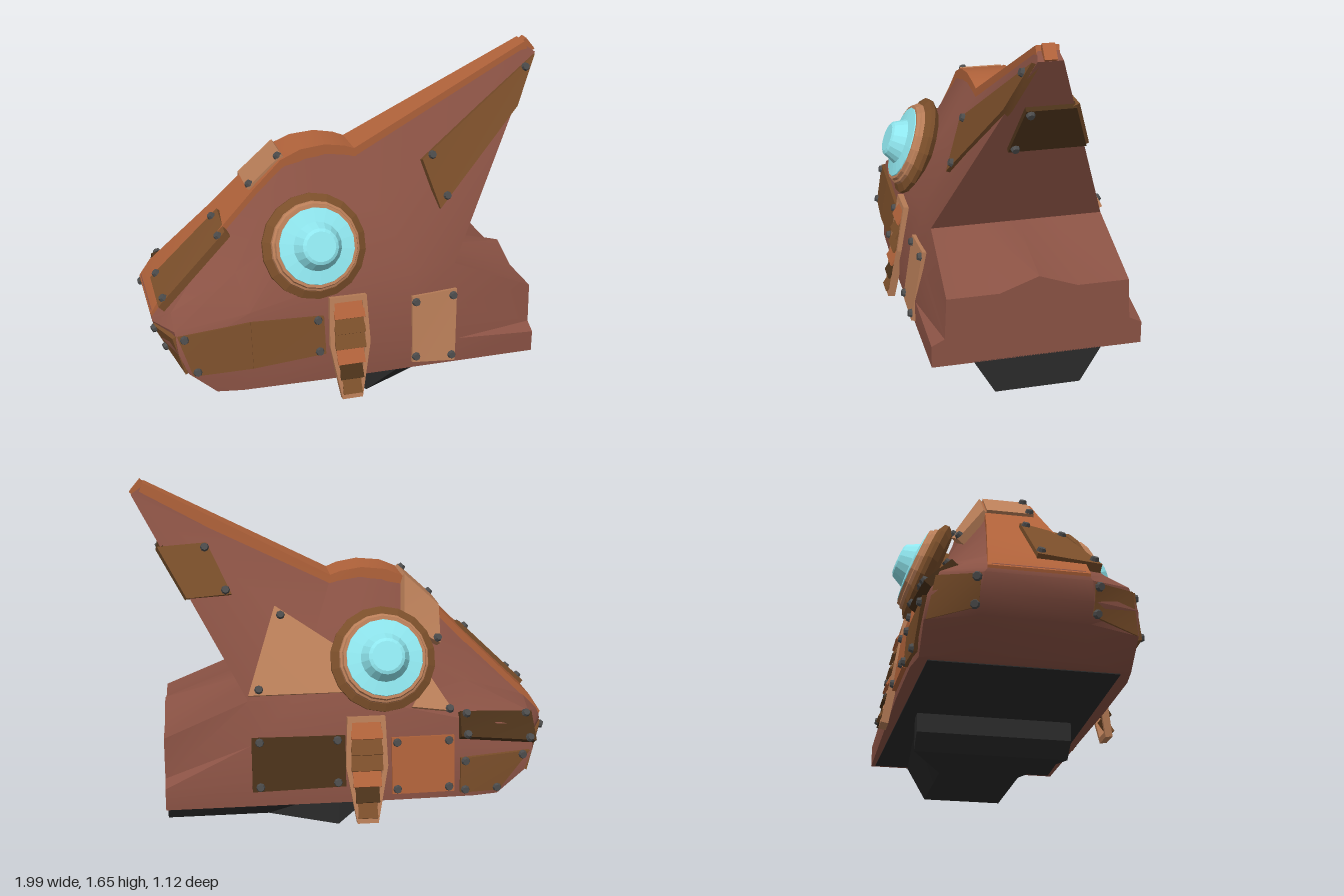
import * as THREE from 'three';
import { toCreasedNormals } from 'three/addons/utils/BufferGeometryUtils.js';

const C = { body: 0x8a5244, orange: 0xb0623a, brown: 0x7a4e2a, dark: 0x4a3119, light: 0xb97e58, cyan: 0x8fe6ee, black: 0x2a2a2a, bolt: 0x4c4c4c };
const mat = (c, flatShading = true) => new THREE.MeshStandardMaterial({ color: C[c], flatShading, side: THREE.DoubleSide });
const V = (x, y, z) => new THREE.Vector3(x, y, z);

// mesh from a flat list of triangle corners, shallow folds smoothed
function triMesh(name, pts, color) {
  const g = new THREE.BufferGeometry().setFromPoints(pts);
  const m = new THREE.Mesh(toCreasedNormals(g, 0.45), mat(color, false));
  m.name = name;
  return m;
}
const quad = (out, a, b, c, d) => {
  for (const t of [[a, b, c], [a, c, d]])
    if (new THREE.Triangle(...t).getArea() > 1e-6) out.push(...t);
};

// skin a row of mirrored closed rings (running front to back) and cap both ends
function loft(name, rings, color) {
  const out = [], n = rings[0].length, first = rings[0], last = rings[rings.length - 1];
  for (let i = 0; i + 1 < rings.length; i++)
    for (let j = 0; j < n; j++) {
      const k = (j + 1) % n;
      quad(out, rings[i][k], rings[i + 1][k], rings[i + 1][j], rings[i][j]);
    }
  for (let j = 0; j + 1 < n / 2; j++) {
    quad(out, first[n - 1 - j], first[n - 2 - j], first[j + 1], first[j]);
    quad(out, last[j], last[j + 1], last[n - 2 - j], last[n - 1 - j]);
  }
  return triMesh(name, out, color);
}
// half ring listed spine to belly -> full ring
const mirror = (half) => [
  ...half.slice().reverse().map(([x, y, z]) => V(x, y, -z)),
  ...half.map(([x, y, z]) => V(x, y, z)),
];

// flat armour plate on 3D corners, with bolts at the chosen corners
function plate(name, corners, hint, color, bolts = corners.map((_, i) => i), t = 0.02) {
  const g = new THREE.Group(), n = V(0, 0, 0), mid = V(0, 0, 0);
  g.name = name;
  let p = corners;
  p.forEach((a, i) => { n.add(a.clone().cross(p[(i + 1) % p.length])); mid.addScaledVector(a, 1 / p.length); });
  n.normalize();
  const heads = bolts.map((i) => p[i].clone().lerp(mid, 0.17));
  if (n.dot(hint) < 0) { n.negate(); p = p.slice().reverse(); }
  const top = p.map((a) => a.clone().addScaledVector(n, t));
  const low = p.map((a) => a.clone().addScaledVector(n, -0.02));
  const out = [];
  for (let i = 0; i < p.length; i++) {
    const k = (i + 1) % p.length;
    if (i > 0 && k > 0) out.push(top[0], top[i], top[k], low[0], low[k], low[i]);
    quad(out, low[i], low[k], top[k], top[i]);
  }
  g.add(triMesh(name + 'Panel', out, color));
  for (const h of heads) {
    const b = new THREE.Mesh(new THREE.CylinderGeometry(0.016, 0.022, 0.018, 8), mat('bolt'));
    b.name = 'bolt';
    b.position.copy(h).addScaledVector(n, t + 0.007);
    b.quaternion.setFromUnitVectors(V(0, 1, 0), n);
    g.add(b);
  }
  return g;
}

function makeEye() {
  const eye = new THREE.Group();
  eye.name = 'eye';
  const layers = [
    ['eyeSocket', 'brown', [[0, -0.04], [0.22, -0.04], [0.25, -0.01], [0.25, 0.01], [0.215, 0.03], [0, 0.03]]],
    ['eyeRim', 'light', [[0.215, 0.02], [0.21, 0.045], [0.2, 0.05], [0.195, 0.065], [0.17, 0.065]]],
    ['eyeLens', 'cyan', [[0.185, 0.05], [0.18, 0.07], [0.115, 0.08], [0.085, 0.14], [0.07, 0.148], [0, 0.148]]],
  ];
  for (const [name, color, prof] of layers) {
    const m = new THREE.Mesh(new THREE.LatheGeometry(prof.map(([r, h]) => new THREE.Vector2(r, h)), 18), mat(color));
    m.name = name;
    eye.add(m);
  }
  eye.rotation.x = THREE.MathUtils.degToRad(68);
  return eye;
}

// tapered frame with slanted slats
function makeVent() {
  const vent = new THREE.Group();
  vent.name = 'cheekVent';
  const outline = [[-0.09, 0.255], [0.09, 0.255], [0.1, 0.02], [0.05, -0.255], [-0.05, -0.255], [-0.1, 0.02]];
  const pts = (s, t) => outline.map(([x, y]) => new THREE.Vector2(x * s, y * t));
  const shape = new THREE.Shape(pts(1, 1));
  shape.holes.push(new THREE.Path(pts(0.76, 0.9)));
  const frame = new THREE.Mesh(new THREE.ExtrudeGeometry(shape, { depth: 0.035, bevelEnabled: false }), mat('light'));
  frame.name = 'ventFrame';
  frame.position.z = -0.02;
  vent.add(frame);
  for (let i = 0; i < 6; i++) {
    const y = 0.19 - i * 0.076;
    const w = y > 0.02 ? 0.15 : 0.15 - (0.02 - y) * 0.27;
    const s = new THREE.Mesh(new THREE.BoxGeometry(w, 0.085, 0.01), mat(['orange', 'brown', 'brown', 'orange', 'dark', 'brown'][i]));
    s.name = 'ventSlat';
    s.position.set(0, y, 0.01);
    s.rotation.x = -0.4;
    vent.add(s);
  }
  vent.rotation.x = -0.17;
  return vent;
}

export function createModel() {
  const root = new THREE.Group();
  root.name = 'armouredHead';

  // main shell: each half ring is spine, upper side, shoulder, cheek, lower cheek, belly
  const lerp = (a, b) => a.map((v, i) => (v + b[i]) / 2);
  const ring = (s, m, l, k, b, t = lerp(s, m)) => mirror([s, t, m, l, k, b]);
  const rear = [[0.47, 0.66, 0.41], [0.47, 0.45, 0.45], [0.47, 0.29, 0.49], [0.47, 0.165, 0.49]];
  const body = loft('headShell', [
    ring([-0.98, 0.5, 0.2], [-0.98, 0.46, 0.23], [-0.95, 0.38, 0.24], [-0.89, 0.3, 0.24], [-0.76, 0.18, 0.24]),
    ring([-0.9, 0.575, 0.2], [-0.9, 0.48, 0.41], [-0.89, 0.38, 0.45], [-0.85, 0.28, 0.46], [-0.72, 0.165, 0.46]),
    ring([-0.62, 0.84, 0.15], [-0.55, 0.54, 0.43], [-0.55, 0.42, 0.46], [-0.55, 0.29, 0.48], [-0.6, 0.165, 0.48]),
    ring([-0.3, 1.15, 0.11], [-0.2, 0.62, 0.42], [-0.2, 0.44, 0.46], [-0.2, 0.29, 0.49], [-0.2, 0.165, 0.49]),
    ring([-0.1, 1.19, 0.1], [0, 0.65, 0.42], [0, 0.45, 0.46], [0, 0.29, 0.49], [0, 0.165, 0.49]),
    ring([0.05, 1.16, 0.09], [0.25, 0.66, 0.41], [0.25, 0.45, 0.46], [0.25, 0.29, 0.49], [0.25, 0.165, 0.49]),
    ring([0.935, 1.615, 0.045], ...rear, [0.985, 1.58, 0.055]),
    ring([0.985, 1.58, 0], ...rear, [0.985, 1.58, 0.055]),
    ring([0.47, 0.66, 0], ...rear, [0.47, 0.66, 0.18]),
    ring([0.865, 0.56, 0], [0.865, 0.495, 0.42], [0.865, 0.3, 0.43], [0.865, 0.27, 0.49], [0.865, 0.165, 0.49], [0.865, 0.495, 0.18]),
  ], 'body');
  root.add(body);

  // raised ridge from snout to crest tip
  const ridge = [[-0.985, 0.49, 0.22], [-0.93, 0.575, 0.21], [-0.62, 0.87, 0.155], [-0.45, 1.04, 0.13], [-0.32, 1.165, 0.12],
    [-0.22, 1.208, 0.115], [-0.1, 1.22, 0.11], [0, 1.203, 0.105], [0.05, 1.183, 0.1], [0.93, 1.635, 0.05]];
  root.add(loft('spineRidge', ridge.map(([x, y, w]) => mirror([[x, y, w], [x + 0.02, y - 0.05, w]])), 'orange'));
  const tip = new THREE.Mesh(new THREE.BoxGeometry(0.04, 0.075, 0.055), mat('orange'));
  tip.name = 'crestTip';
  tip.position.set(0.955, 1.605, 0);
  tip.rotation.z = 0.7;
  root.add(tip);

  // dark lower block and belly panel
  const jaw = [[-0.04, 0.37, 0.37, 0.07], [0.04, 0.37, 0.37, 0], [0.37, 0.34, 0.2, 0], [0.865, 0.3, 0.2, 0]];
  root.add(loft('lowerBlock', jaw.map(([x, wt, wb, y]) => mirror([[x, 0.17, wt], [x, y, wb]])), 'black'));
  root.add(plate('bellyPanel', [V(-0.7, 0.165, -0.42), V(-0.7, 0.165, 0.42), V(0.84, 0.165, 0.47), V(0.84, 0.165, -0.47)], V(0, -1, 0), 'black', [], 0.004));

  // eyes and vents on both sides
  for (const s of [1, -1]) {
    const eye = new THREE.Group(), vent = new THREE.Group();
    eye.name = s > 0 ? 'leftEye' : 'rightEye';
    vent.name = s > 0 ? 'leftVent' : 'rightVent';
    eye.add(makeEye());
    vent.add(makeVent());
    eye.position.set(s > 0 ? -0.22 : -0.17, s > 0 ? 0.815 : 0.83, s * 0.362);
    vent.position.set(-0.08, 0.325, s * 0.49);
    if (s < 0) eye.rotation.y = vent.rotation.y = Math.PI;
    root.add(eye, vent);
  }

  // side plates, their corners dropped onto the shell along z (on the crest, onto its slope)
  const ray = new THREE.Raycaster();
  const onSide = (x, y, s) => {
    if (y > 1.08) return V(x, y, s * (0.055 + 0.386 * (1.58 - y)));
    ray.set(V(x, y, 2 * s), V(0, 0, -s));
    return ray.intersectObject(body)[0].point.clone();
  };
  const sidePlates = [
    ['lipPlate', 1, 'brown', [[-0.55, 0.5], [-0.2, 0.49], [-0.2, 0.31], [-0.55, 0.28]], [1, 2]],
    ['lipFrontPlate', 1, 'brown', [[-0.89, 0.46], [-0.55, 0.5], [-0.55, 0.28], [-0.83, 0.27]], [0, 3]],
    ['rearCheekPlate', 1, 'light', [[0.24, 0.53], [0.47, 0.54], [0.45, 0.18], [0.23, 0.2]]],
    ['crestPlate', 1, 'brown', [[0.35, 1.14], [0.975, 1.57], [0.86, 1.34], [0.42, 0.91]], [0, 1, 3]],
    ['templePlate', -1, 'light', [[0.33, 1.06], [0.47, 0.68], [-0.1, 0.68], [0, 0.85]], [0, 1]],
    ['rearCheekPlate', -1, 'dark', [[0.02, 0.49], [0.46, 0.49], [0.46, 0.24], [0.02, 0.25]]],
    ['cheekPlate', -1, 'orange', [[-0.5, 0.47], [-0.2, 0.47], [-0.2, 0.2], [-0.5, 0.2]]],
    ['lipPlate', -1, 'brown', [[-0.87, 0.38], [-0.53, 0.36], [-0.53, 0.19], [-0.72, 0.19]]],
    ['underEyePlate', -1, 'light', [[-0.5, 0.57], [-0.3, 0.6], [-0.4, 0.72]], [0]],
    ['crestPlate', -1, 'brown', [[0.64, 1.36], [0.87, 1.345], [0.74, 1.115], [0.53, 1.13]], [0, 3]],
  ];
  for (const [name, s, color, pts, bolts] of sidePlates)
    root.add(plate(name, pts.map(([x, y]) => onSide(x, y, s)), V(0, 0.2, s), color, bolts));
  for (const s of [1, -1])
    root.add(plate('snoutPlate', [V(-0.97, 0.455, 0.24 * s), V(-0.9, 0.46, 0.42 * s), V(-0.85, 0.28, 0.45 * s), V(-0.91, 0.33, 0.24 * s)], V(-1, 0, s), 'brown', [0, 3], 0.015));

  // plates on the snout, brow and back of the crest
  root.add(
    plate('snoutTopPlate', [V(-0.94, 0.565, 0), V(-0.6, 0.89, 0), V(-0.6, 0.85, 0.2), V(-0.94, 0.54, 0.28)], V(-1, 1, 0), 'brown'),
    plate('foreheadPlate', [V(-0.47, 1.02, 0.1), V(-0.3, 1.175, 0.1), V(-0.3, 1.175, -0.115), V(-0.47, 1.02, -0.125)], V(-1, 1, 0), 'light', [0, 1], 0.015),
    plate('foreheadSidePlate', [V(-0.47, 1.02, -0.125), V(-0.3, 1.175, -0.115), V(-0.28, 0.96, -0.25), V(-0.46, 0.86, -0.245)], V(0, 0.5, -1), 'light', [2, 3]),
    plate('browPlate', [V(-0.9, 0.53, -0.34), V(-0.53, 0.57, -0.42), V(-0.53, 0.46, -0.47), V(-0.9, 0.42, -0.455)], V(0, 0.5, -1), 'dark'),
    plate('crestBackPlate', [V(0.86, 1.345, 0.07), V(0.86, 1.345, -0.15), V(0.73, 1.12, -0.24), V(0.73, 1.12, 0.115)], V(1, -0.5, 0), 'dark', [0, 3]),
  );
  return root;
}
